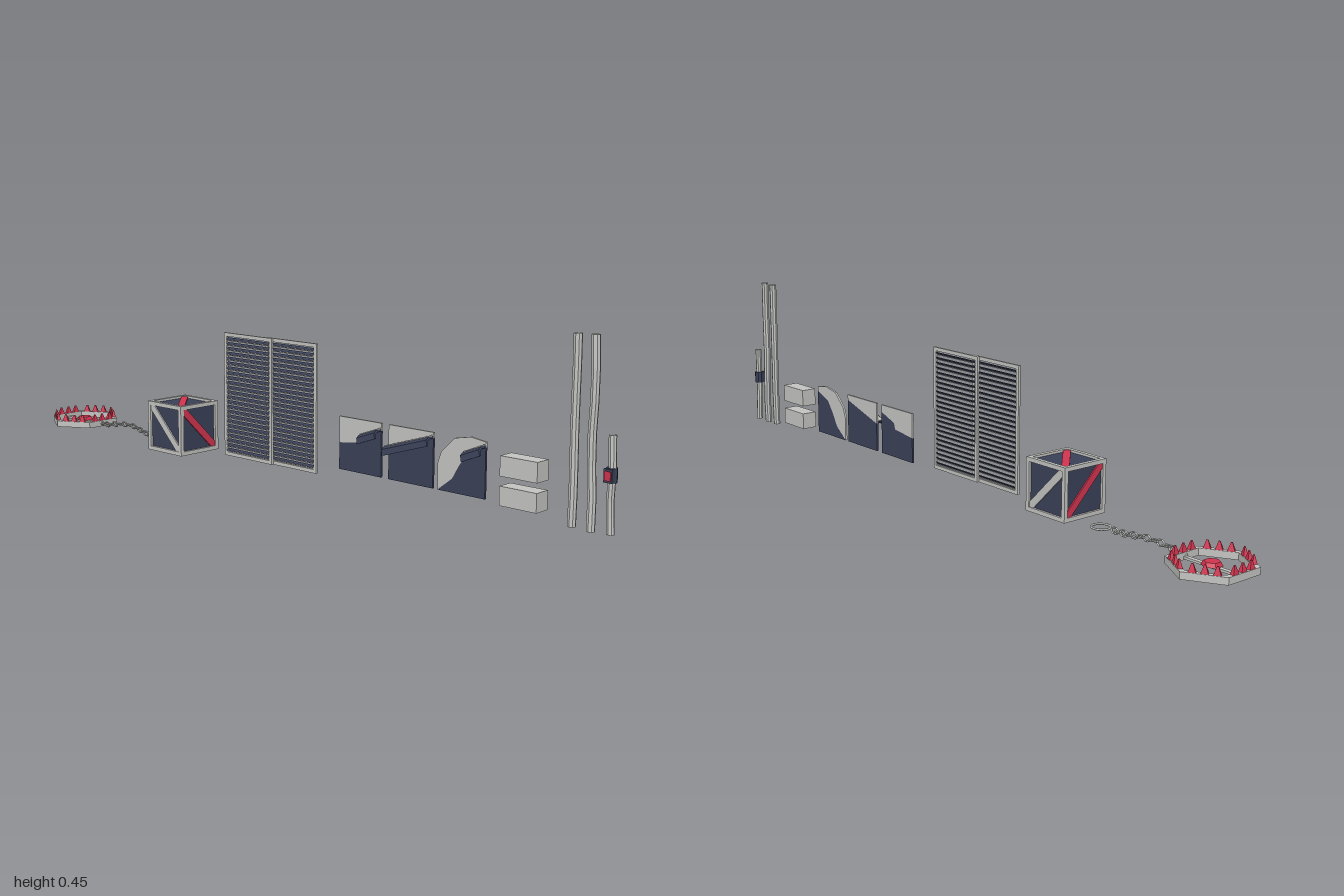
import * as THREE from 'three';

const mat = (name, color) => {
  const m = new THREE.MeshStandardMaterial({ color });
  m.name = name;
  return m;
};

export function createModel() {
  const gray = mat('lightGray', 0xc4c4c2);
  const navy = mat('navy', 0x3a4058);
  const red = mat('red', 0xd2344f);

  const model = new THREE.Group();
  model.name = 'trapAndBarrierKit';
  const group = (name, x = 0, y = 0, z = 0) => {
    const g = new THREE.Group();
    g.name = name;
    g.position.set(x, y, z);
    model.add(g);
    return g;
  };
  const add = (parent, name, geo, material, x = 0, y = 0, z = 0) => {
    const m = new THREE.Mesh(geo, material);
    m.name = name;
    m.position.set(x, y, z);
    parent.add(m);
    return m;
  };
  const box = (w, h, d) => new THREE.BoxGeometry(w, h, d);
  const flat = (geo) => {
    const g = geo.index ? geo.toNonIndexed() : geo;
    g.computeVertexNormals();
    return g;
  };
  const shape = (pts) => new THREE.Shape(pts.map((p) => new THREE.Vector2(...p)));
  const extrude = (s, depth) => new THREE.ExtrudeGeometry(s, { depth, bevelEnabled: false });
  const hexagon = (r) =>
    Array.from({ length: 6 }, (_, i) => {
      const a = Math.PI / 2 + (i * Math.PI) / 3;
      return [r * Math.cos(a), r * Math.sin(a)];
    });

  // Jaw trap: hexagonal ring, three teeth per side, crossbar and trigger plate
  const trap = group('jawTrap', -0.915, 0, -0.003);
  const ring = shape(hexagon(0.108));
  ring.holes.push(new THREE.Path(hexagon(0.092).map((p) => new THREE.Vector2(...p))));
  add(trap, 'trapRing', extrude(ring, 0.018).rotateX(-Math.PI / 2), gray, 0, 0.007);
  const corners = hexagon(0.1);
  corners.forEach(([x, z], i) => {
    const [x2, z2] = corners[(i + 1) % 6];
    for (const t of [0.22, 0.5, 0.78]) {
      const tooth = flat(new THREE.CylinderGeometry(0.003, 0.013, 0.021, 4).rotateY(Math.PI / 4));
      tooth.scale(1, 1, 0.65);
      const m = add(trap, 'tooth', tooth, red, x + (x2 - x) * t, 0.035, z + (z2 - z) * t);
      m.rotation.y = -Math.atan2(z2 - z, x2 - x);
    }
  });
  add(trap, 'crossbar', box(0.172, 0.006, 0.012), gray, 0, 0.013);
  add(trap, 'triggerPlate', flat(new THREE.CylinderGeometry(0.02, 0.026, 0.01, 6)), red, 0, 0.021);

  // Chain of alternating links with an end ring
  const chain = group('chain');
  for (let i = 0; i < 13; i++) {
    const t = i / 12;
    const link = new THREE.TorusGeometry(0.0075, 0.0022, 5, 10).scale(1.55, 1, 1);
    const m = add(chain, 'chainLink', link, gray, -0.825 + 0.222 * t,
      0.021 + 0.006 * Math.sin(t * 6 - 1.6), 0.001 + 0.007 * Math.sin(t * 7));
    m.rotation.x = i % 2 ? Math.PI / 2 : 0.15;
  }
  add(chain, 'endRing', new THREE.TorusGeometry(0.024, 0.0028, 6, 16).rotateX(Math.PI / 2),
    gray, -0.575, 0.022, -0.014);

  // Crate: core, twelve edge bars, and a diagonal brace on each face
  const crate = group('crate', -0.39, 0.076, 0.043);
  add(crate, 'cratePanels', box(0.13, 0.13, 0.13), navy);
  for (const a of [-1, 1]) for (const b of [-1, 1]) {
    const o = 0.0658;
    add(crate, 'crateEdge', box(0.143, 0.0114, 0.0114), gray, 0, a * o, b * o);
    add(crate, 'crateEdge', box(0.0114, 0.1202, 0.0114), gray, a * o, 0, b * o);
    add(crate, 'crateEdge', box(0.0114, 0.0114, 0.1202), gray, a * o, b * o, 0);
  }
  const h = 0.0605, w = 0.014;
  const brace = shape([[-h, h], [-h, h - w], [h - w, -h], [h, -h], [h, -h + w], [-h + w, h]]);
  const braces = [['x', 0, gray], ['y', Math.PI / 2, red], ['x', -Math.PI / 2, red]];
  for (const [axis, angle, material] of braces) for (const z of [0.064, -0.069]) {
    const geo = extrude(brace, 0.005).translate(0, 0, z);
    if (axis === 'x') geo.rotateX(angle); else geo.rotateY(angle);
    add(crate, 'diagonalBrace', geo, material);
  }

  // Two overlapping louvred shutters
  const shutter = (name, x0, x1, z) => {
    const g = group(name, (x0 + x1) / 2, 0.186, z);
    const W = x1 - x0, H = 0.348, f = 0.01, D = 0.0066;
    for (const s of [-1, 1]) {
      add(g, 'shutterStile', box(f, H, D), gray, s * (W - f) / 2);
      add(g, 'shutterRail', box(W - 2 * f, f, D), gray, 0, s * (H - f) / 2);
    }
    const n = 24, pitch = (H - 2 * f) / n;
    for (let i = 0; i < n; i++) {
      const y = -H / 2 + f + pitch * (i + 0.5);
      add(g, 'louvre', box(W - 2 * f, 0.0016, 0.0092), navy, 0, y).rotation.x = Math.PI / 4;
      add(g, 'louvreLip', box(W - 2 * f, 0.004, 0.0012), gray, 0, y - 0.0035, 0.0027);
    }
  };
  shutter('leftShutter', -0.224, -0.037, 0.0306);
  shutter('rightShutter', -0.066, 0.123, 0.0239);

  // Two-tone plates: navy lower part, gray upper part, hooked ridge on the seam
  const plate = (name, x, lower, upper, r) => {
    const g = group(name, x, 0.025, -0.024);
    add(g, 'lowerPlate', extrude(shape(lower), 0.006), navy);
    add(g, 'upperPlate', extrude(shape(upper), 0.006), gray);
    const len = Math.hypot(r[2] - r[0], r[3] - r[1]);
    const hook = shape([[0, 0.006], [-0.02, 0.006], [-0.032, 0], [-0.036, -0.016],
      [-0.03, -0.016], [-0.026, -0.004], [-0.018, 0], [0, 0]]);
    const m = add(g, 'hookedRidge', extrude(hook, len).rotateY(Math.PI / 2), navy, r[0], r[1], 0.003);
    m.rotation.z = Math.atan2(r[3] - r[1], r[2] - r[0]);
    const cap = add(g, 'ridgeCap', box(len, 0.003, 0.022), gray,
      (r[0] + r[2]) / 2, (r[1] + r[3]) / 2 + 0.0075, 0.012);
    cap.rotation.z = m.rotation.z;
  };
  plate('steppedPlate', 0.165,
    [[0, 0], [0.145, 0], [0.145, 0.122], [0.085, 0.1], [0.08, 0.082], [0, 0.072]],
    [[0, 0.072], [0.08, 0.082], [0.085, 0.1], [0.145, 0.122], [0.145, 0.143], [0, 0.143]],
    [0.085, 0.1, 0.145, 0.122]);
  plate('slopedPlate', 0.335,
    [[0, 0], [0.145, 0], [0.145, 0.128], [0, 0.082]],
    [[0, 0.082], [0.145, 0.128], [0.145, 0.143], [0, 0.143]],
    [0, 0.082, 0.145, 0.128]);
  plate('curvedPlate', 0.495,
    [[0, 0], [0.145, 0], [0.145, 0.128], [0.09, 0.105], [0.065, 0.07], [0.045, 0.035]],
    [[0, 0], [0.045, 0.035], [0.065, 0.07], [0.09, 0.105], [0.145, 0.128], [0.145, 0.142],
      [0.1, 0.148], [0.05, 0.138], [0.01, 0.098], [0, 0.07]],
    [0.09, 0.105, 0.145, 0.128]);

  // Two stone blocks
  const blocks = group('stoneBlocks', 0.75, 0, -0.02);
  add(blocks, 'lowerBlock', box(0.106, 0.048, 0.046), gray, 0, 0.048);
  add(blocks, 'upperBlock', box(0.106, 0.05, 0.046), gray, 0, 0.121);

  // Crooked poles; the short one carries a wrapped grip
  const pole = (name, x, y0, y1, r, bend, phase) => {
    const geo = new THREE.CylinderGeometry(r, r, y1 - y0, 8, 6);
    const p = geo.attributes.position;
    for (let i = 0; i < p.count; i++) {
      const t = p.getY(i) / (y1 - y0) + 0.5;
      p.setX(i, p.getX(i) + bend * Math.sin(t * 9 + phase));
      p.setZ(i, p.getZ(i) + bend * 0.7 * Math.cos(t * 7 + phase));
    }
    add(model, name, flat(geo), gray, x, (y0 + y1) / 2, -0.025);
  };
  pole('straightPole', 0.882, 0.003, 0.453, 0.0105, 0.001, 0);
  pole('crookedPole', 0.93, 0.001, 0.454, 0.0105, 0.0035, 1);
  pole('shortPole', 0.982, 0.003, 0.232, 0.0095, 0.002, 2);
  const grip = group('grip', 0.982, 0.141, -0.025);
  add(grip, 'gripBand', flat(new THREE.CylinderGeometry(0.0135, 0.0135, 0.034, 8)), navy);
  add(grip, 'gripBlock', box(0.022, 0.032, 0.013), navy, 0, 0, 0.011);
  add(grip, 'gripPatch', box(0.016, 0.022, 0.003), red, 0, 0, 0.0185);

  return model;
}
